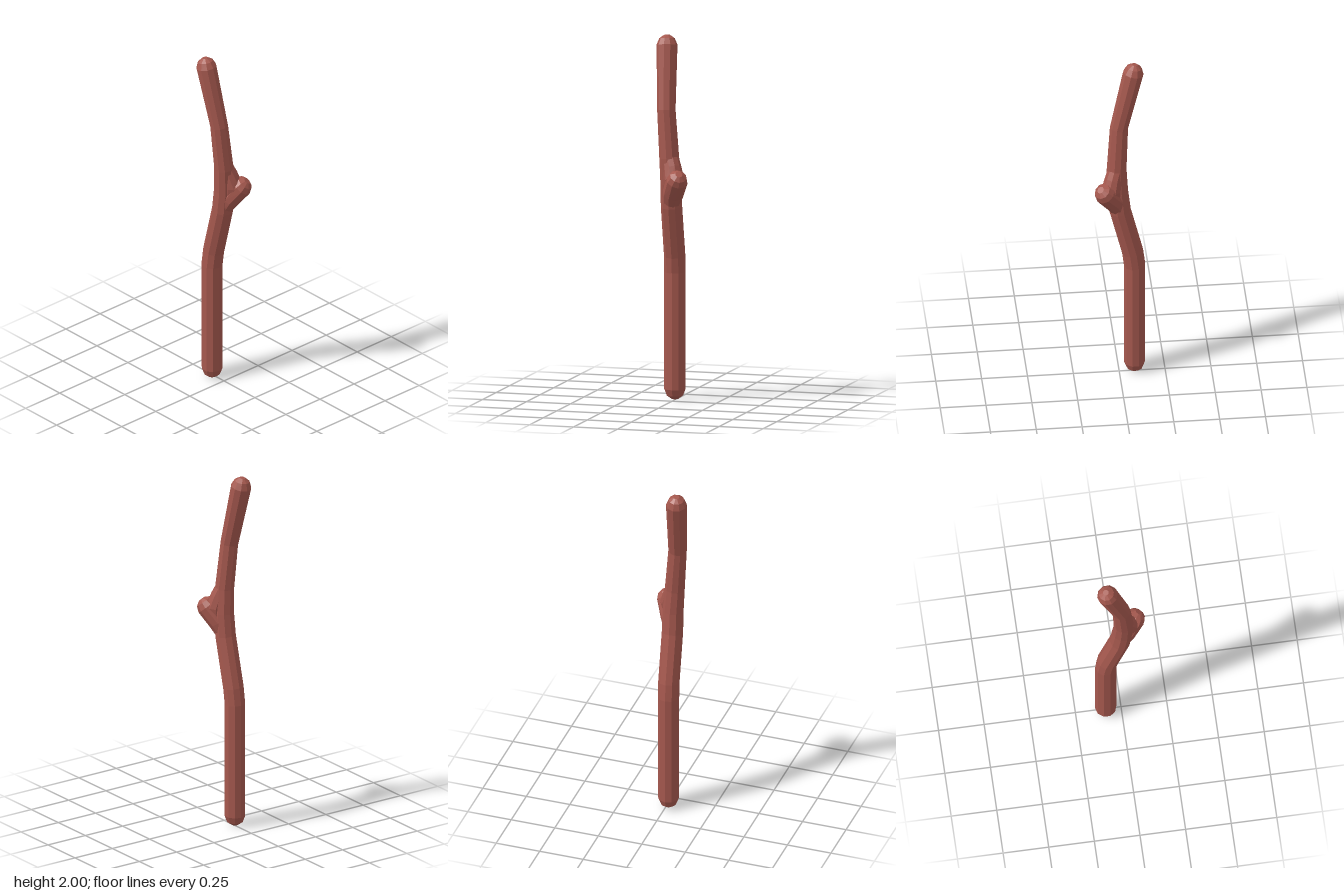
import * as THREE from 'three';

const SIDES = 10;
const bark = new THREE.MeshStandardMaterial({ color: 0xa5584e, flatShading: true });

// Closed limb: rings square to the path through [x, y, z, radius] stations
function limb(name, stations) {
  const centres = stations.map(([x, y, z]) => new THREE.Vector3(x, y, z));
  const last = centres.length - 1;
  const positions = [], index = [];
  const side = new THREE.Vector3(), front = new THREE.Vector3(), p = new THREE.Vector3();
  centres.forEach((c, i) => {
    const before = c.clone().sub(centres[Math.max(i - 1, 0)]).normalize();
    const after = centres[Math.min(i + 1, last)].clone().sub(c).normalize();
    const dir = before.add(after).normalize();
    side.set(1, 0, 0).addScaledVector(dir, -dir.x).normalize();
    front.crossVectors(side, dir);
    for (let k = 0; k < SIDES; k++) {
      const a = (k / SIDES) * Math.PI * 2;
      p.copy(c)
        .addScaledVector(side, Math.cos(a) * stations[i][3])
        .addScaledVector(front, Math.sin(a) * stations[i][3]);
      positions.push(p.x, p.y, p.z);
      if (i < last) {
        const n = (k + 1) % SIDES, r = i * SIDES;
        index.push(r + k, r + SIDES + k, r + n, r + n, r + SIDES + k, r + SIDES + n);
      }
    }
  });
  // End fans
  const base = positions.length / 3;
  positions.push(...centres[0].toArray(), ...centres[last].toArray());
  for (let k = 0; k < SIDES; k++) {
    const n = (k + 1) % SIDES, r = last * SIDES;
    index.push(base, k, n, base + 1, r + n, r + k);
  }
  const geometry = new THREE.BufferGeometry();
  geometry.setAttribute('position', new THREE.Float32BufferAttribute(positions, 3));
  geometry.setIndex(index);
  geometry.computeVertexNormals();
  const mesh = new THREE.Mesh(geometry, bark);
  mesh.name = name;
  return mesh;
}

export function createModel() {
  const group = new THREE.Group();
  group.name = 'stick';

  // Crooked main stem with rounded ends
  group.add(limb('stem', [
    [-0.085, 0, 0.01, 0.018],
    [-0.085, 0.018, 0.01, 0.044],
    [-0.085, 0.055, 0.01, 0.058],
    [-0.085, 0.7, 0.01, 0.058],
    [-0.074, 0.79, 0.008, 0.058],
    [-0.006, 1.07, 0.005, 0.058],
    [0.008, 1.2, 0.004, 0.057],
    [0.013, 1.34, 0.012, 0.054],
    [-0.002, 1.6, 0.033, 0.05],
    [-0.082, 1.945, 0.054, 0.057],
    [-0.088, 1.98, 0.056, 0.042],
    [-0.091, 1.998, 0.057, 0.016],
  ]));

  // Stub of a broken side branch, leaning to the back left
  group.add(limb('branchStub', [
    [0, 1.08, 0.004, 0.046],
    [0.028, 1.145, -0.014, 0.058],
    [0.083, 1.228, -0.054, 0.059],
    [0.099, 1.253, -0.066, 0.046],
    [0.108, 1.266, -0.072, 0.02],
  ]));

  // Web of bark filling the crotch between stem and stub
  group.add(limb('crotchWeb', [
    [0.012, 1.35, 0.008, 0.045],
    [0.03, 1.29, -0.01, 0.05],
    [0.045, 1.23, -0.024, 0.056],
    [0.04, 1.18, -0.02, 0.05],
  ]));

  return group;
}
